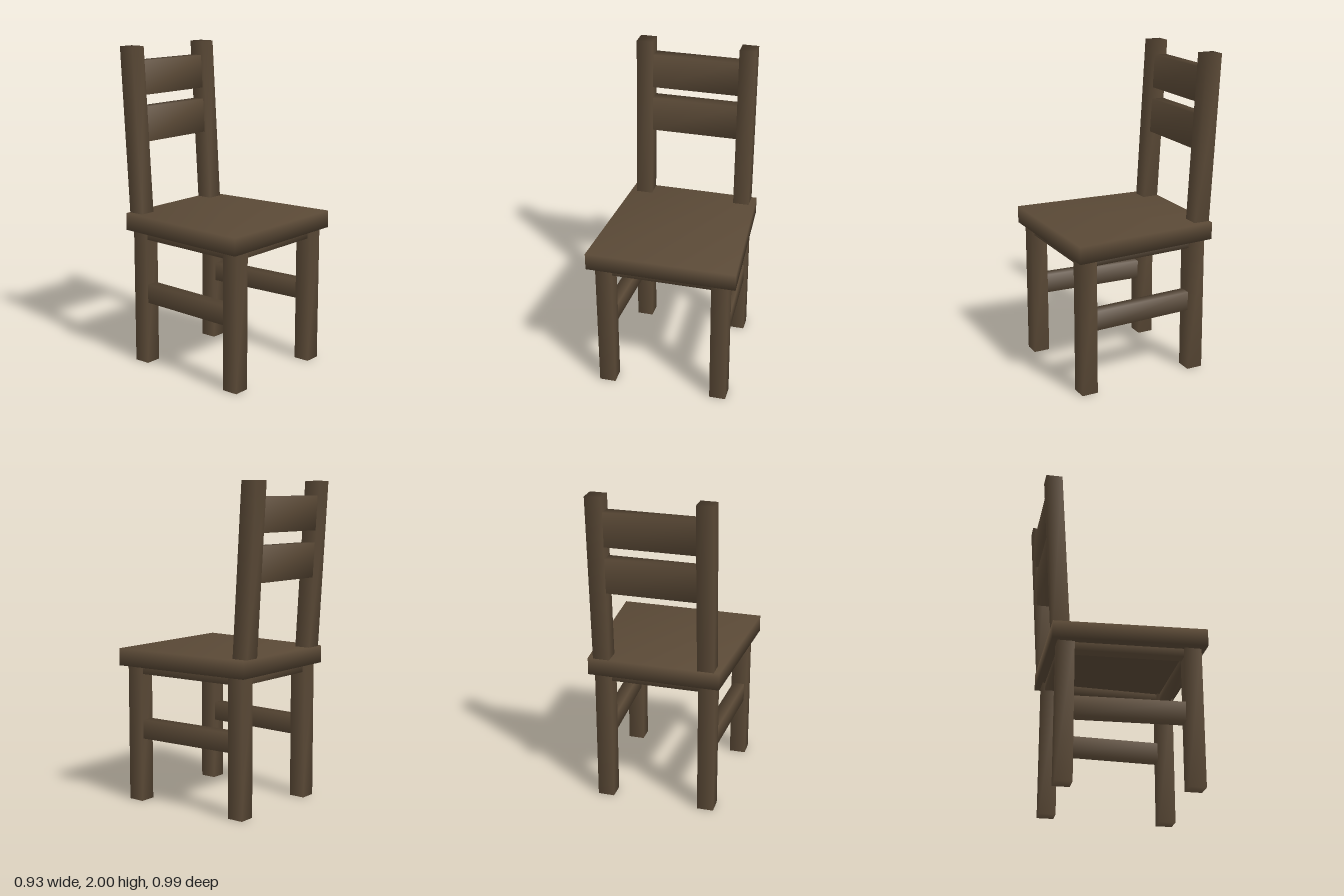
import * as THREE from 'three';
import { mergeVertices } from 'three/addons/utils/BufferGeometryUtils.js';

const wood = new THREE.MeshStandardMaterial({ color: 0x5a4936 });
wood.name = 'dark wood';

// Box with shared corners (soft normals), its vertices moved by an optional rule
function beam(name, size, center, rule) {
  let geo = new THREE.BoxGeometry(...size);
  geo.translate(...center);
  geo.deleteAttribute('normal');
  geo.deleteAttribute('uv');
  geo = mergeVertices(geo);
  if (rule) {
    const p = geo.attributes.position;
    const v = new THREE.Vector3();
    for (let i = 0; i < p.count; i++) {
      rule(v.fromBufferAttribute(p, i));
      p.setXYZ(i, v.x, v.y, v.z);
    }
  }
  geo.computeVertexNormals();
  const mesh = new THREE.Mesh(geo, wood);
  mesh.name = name;
  return mesh;
}

// Backrest leans backwards as it rises
const lean = (v) => { v.z -= (v.y - 0.97) * 0.061; };

// Side rails follow the taper from the front legs to the back legs
const taper = (side) => (v) => { v.x += side * (0.343 + (v.z - 0.03) * 0.047); };

export function createModel() {
  const chair = new THREE.Group();
  chair.name = 'chair';

  // Tapered seat
  chair.add(beam('seat', [2, 0.108, 0.925], [0, 0.915, 0.03], (v) => {
    v.x *= v.z > 0 ? 0.464 : 0.408;
  }));

  for (const side of [1, -1]) {
    const label = side > 0 ? 'left' : 'right';
    // Legs and leaning back posts
    chair.add(beam(label + 'FrontLeg', [0.103, 0.88, 0.103], [side * 0.362, 0.44, 0.412]));
    chair.add(beam(label + 'BackLeg', [0.103, 0.88, 0.103], [side * 0.325, 0.44, -0.347]));
    chair.add(beam(label + 'BackPost', [0.102, 1.09, 0.103], [side * 0.324, 1.455, -0.379], lean));
    // Side stretcher and side apron
    chair.add(beam(label + 'Stretcher', [0.075, 0.12, 0.68], [0, 0.46, 0.03], taper(side)));
    chair.add(beam(label + 'Apron', [0.07, 0.08, 0.68], [0, 0.85, 0.03], taper(side)));
  }

  // Front and back aprons
  chair.add(beam('frontApron', [0.64, 0.08, 0.07], [0, 0.85, 0.412]));
  chair.add(beam('backApron', [0.57, 0.08, 0.07], [0, 0.85, -0.347]));

  // Backrest slats
  chair.add(beam('lowerSlat', [0.56, 0.215, 0.08], [0, 1.518, -0.385], lean));
  chair.add(beam('upperSlat', [0.56, 0.21, 0.08], [0, 1.805, -0.385], lean));

  return chair;
}
